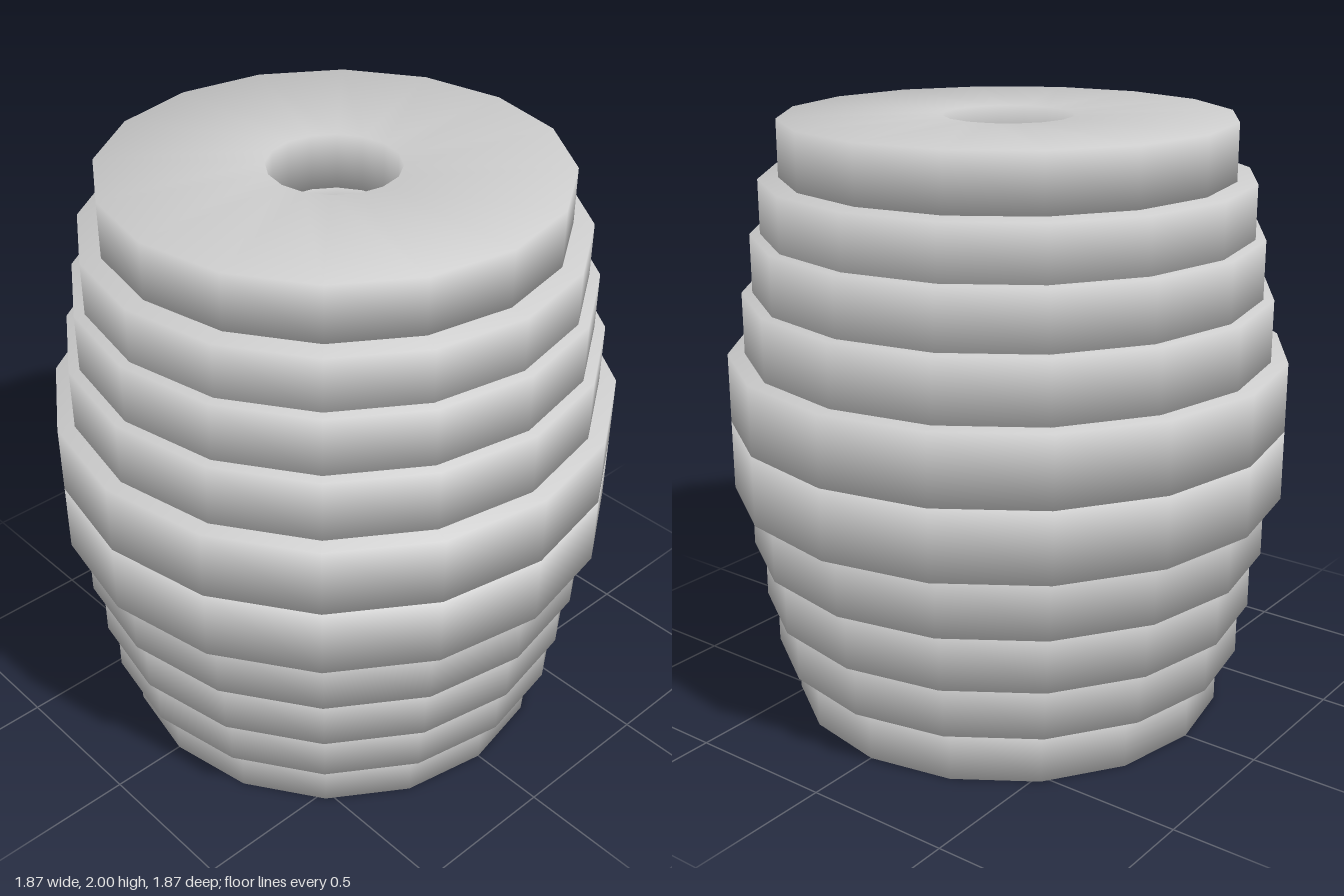
import * as THREE from 'three';
import { mergeVertices } from 'three/addons/utils/BufferGeometryUtils.js';

const SIDES = 16;
const HOLE = 0.287;   // hole radius / outer radius
const HEIGHT = 0.25;  // disc height / outer radius

// One pierced disc, 16-sided, with normals smoothed across its welded edges
function discGeometry() {
  const profile = [
    [HOLE, -HEIGHT / 2], [1, -HEIGHT / 2], [1, HEIGHT / 2], [HOLE, HEIGHT / 2], [HOLE, -HEIGHT / 2],
  ].map(([r, y]) => new THREE.Vector2(r, y));
  const lathe = new THREE.LatheGeometry(profile, SIDES);
  lathe.deleteAttribute('normal');
  lathe.deleteAttribute('uv');
  const geometry = mergeVertices(lathe);
  geometry.computeVertexNormals();
  return geometry;
}

export function createModel() {
  const group = new THREE.Group();
  group.name = 'stackedDiscs';
  const grey = new THREE.MeshStandardMaterial({ color: 0xcccccc });
  grey.name = 'light grey';
  const geometry = discGeometry();

  // Outer radius and top height of each disc in the upper half
  const discs = [
    [0.742, 2.0], [0.808, 1.81], [0.842, 1.633], [0.877, 1.44], [0.933, 1.234],
  ];

  // Every upper disc is mirrored about the middle height y = 1
  discs.forEach(([radius, top], i) => {
    const offset = top - (radius * HEIGHT) / 2 - 1;
    for (const side of [1, -1]) {
      const disc = new THREE.Mesh(geometry, grey);
      disc.name = (side > 0 ? 'upperDisc' : 'lowerDisc') + (i + 1);
      disc.scale.setScalar(radius);
      disc.position.y = 1 + side * offset;
      group.add(disc);
    }
  });
  return group;
}
